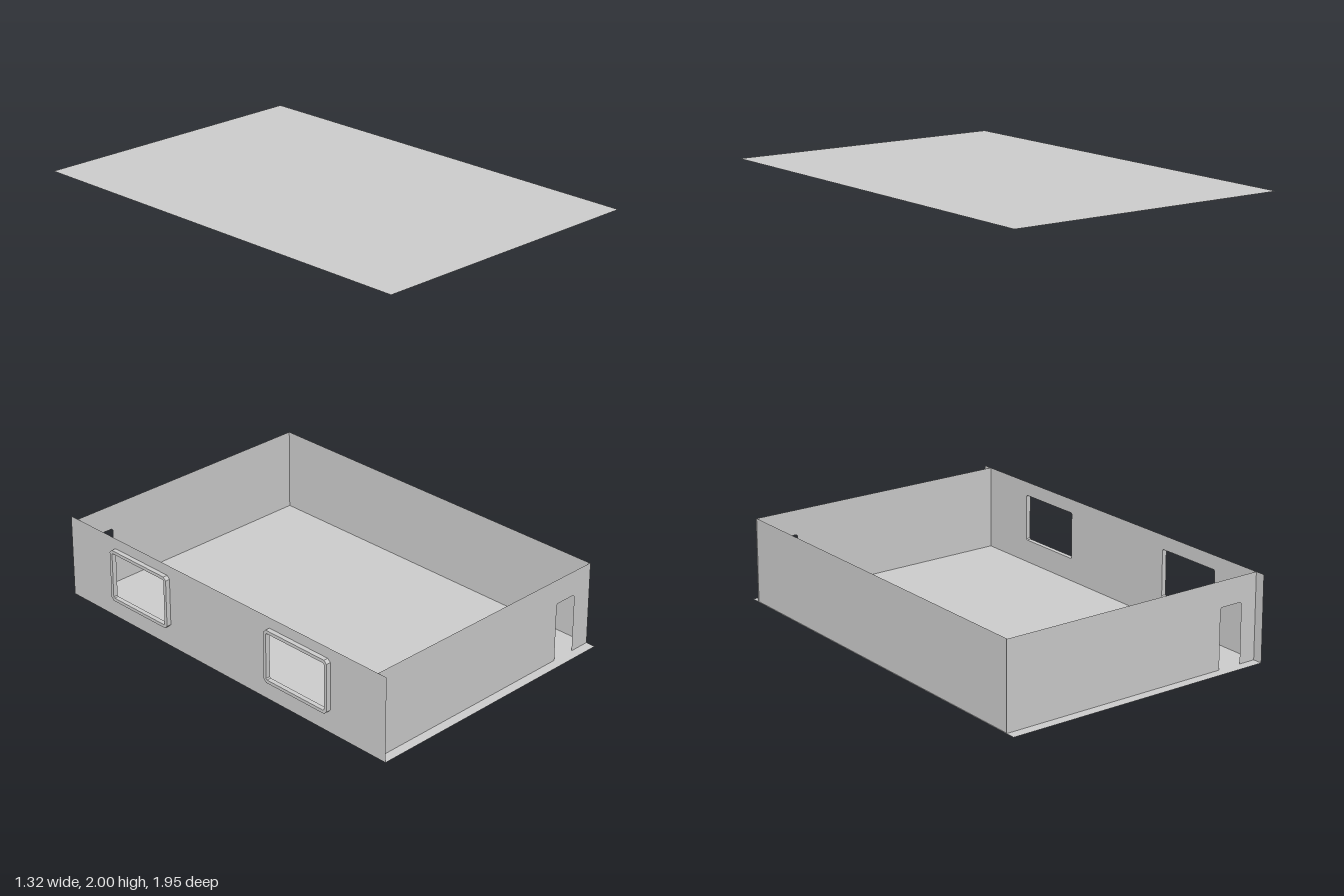
import * as THREE from 'three';

const X0 = -0.64, X1 = 0.66, Z = 0.973, WALL_Z = 0.927, H = 0.392;
const windowCentres = [-0.5, 0.476];
const win = { w: 0.37, y0: 0.092, y1: 0.342, rim: 0.015, depth: 0.022 };

const material = new THREE.MeshStandardMaterial({ color: 0xcccccc, side: THREE.DoubleSide });

function mesh(name, geometry) {
  const m = new THREE.Mesh(geometry, material);
  m.name = name;
  return m;
}

// Rectangle with cut corners, as a list of points
function cutRect(x0, y0, x1, y1, c) {
  return [
    [x0 + c, y0], [x1 - c, y0], [x1, y0 + c], [x1, y1 - c],
    [x1 - c, y1], [x0 + c, y1], [x0, y1 - c], [x0, y0 + c],
  ].map(([x, y]) => new THREE.Vector2(x, y));
}

// Thin horizontal sheet
function slab(name, y) {
  const g = new THREE.PlaneGeometry(X1 - X0, 2 * Z).rotateX(-Math.PI / 2);
  return mesh(name, g.translate((X0 + X1) / 2, y, 0));
}

// End wall with a doorway notched up from the floor
function endWall(name, z, d0, d1) {
  const top = 0.275, c = 0.007;
  const points = [
    [X0, 0], [d0, 0], [d0, top - c], [d0 + c, top], [d1 - c, top], [d1, top - c],
    [d1, 0], [X1, 0], [X1, H], [X0, H],
  ].map(([x, y]) => new THREE.Vector2(x, y));
  return mesh(name, new THREE.ShapeGeometry(new THREE.Shape(points)).translate(0, 0, z));
}

export function createModel() {
  const model = new THREE.Group();
  model.name = 'building';

  // Floor and raised roof
  model.add(slab('floor', 0), slab('roof', 2));

  // End walls, each with a doorway at opposite corners
  model.add(endWall('frontWall', WALL_Z, 0.445, 0.56));
  model.add(endWall('backWall', -WALL_Z, -0.56, -0.445));

  // Plain side wall
  const plain = new THREE.PlaneGeometry(2 * WALL_Z, H).rotateY(Math.PI / 2);
  model.add(mesh('plainSideWall', plain.translate(X1 - 0.004, H / 2, 0)));

  // Window wall, drawn with its width along z and turned into place
  const wall = new THREE.Shape([
    new THREE.Vector2(-Z, 0), new THREE.Vector2(Z, 0),
    new THREE.Vector2(Z, H), new THREE.Vector2(-Z, H),
  ]);
  for (const c of windowCentres) {
    const { w, y0, y1, rim, depth } = win;
    const opening = cutRect(c - w / 2 + rim, y0 + rim, c + w / 2 - rim, y1 - rim, 0.005);
    wall.holes.push(new THREE.Path(opening));

    // Projecting window frame
    const ring = new THREE.Shape(cutRect(c - w / 2, y0, c + w / 2, y1, 0.014));
    ring.holes.push(new THREE.Path(opening));
    const g = new THREE.ExtrudeGeometry(ring, { depth, bevelEnabled: false });
    model.add(mesh('windowFrame', g.rotateY(-Math.PI / 2).translate(X0, 0, 0)));
  }
  const wallGeometry = new THREE.ShapeGeometry(wall).rotateY(-Math.PI / 2);
  model.add(mesh('windowWall', wallGeometry.translate(X0, 0, 0)));

  return model;
}
